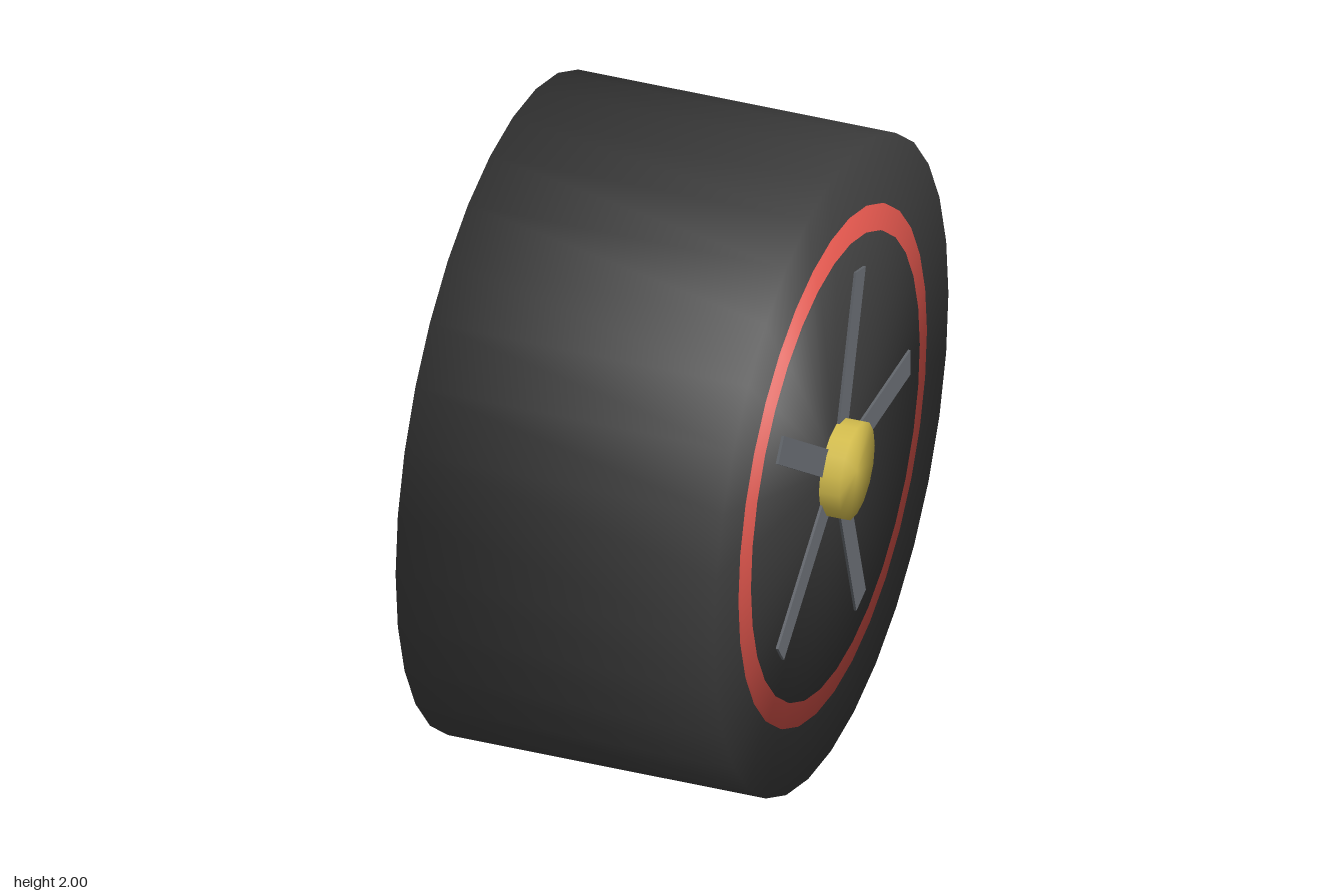
import * as THREE from 'three';
import { mergeVertices } from 'three/addons/utils/BufferGeometryUtils.js';

const paint = (name, color) => {
  const m = new THREE.MeshStandardMaterial({ color });
  m.name = name;
  return m;
};

// Cylinder along x whose normals blend softly over the rim edge
function softDrum(radius, width, sides) {
  let g = new THREE.CylinderGeometry(radius, radius, width, sides);
  g.deleteAttribute('normal');
  g.deleteAttribute('uv');
  g = mergeVertices(g, 1e-4);
  g.computeVertexNormals();
  g.rotateZ(Math.PI / 2);
  return g;
}

export function createModel() {
  const rubber = paint('black rubber', 0x3b3b3b);
  const red = paint('red stripe', 0xd9534a);
  const steel = paint('grey steel', 0x63676d);
  const gold = paint('gold hub', 0xd6bf4e);

  const wheel = new THREE.Group();
  wheel.name = 'wheel';
  wheel.position.y = 1;

  // Concentric drums, each narrower one standing slightly further out
  const drums = [
    ['tyre', 1, 1, 32, rubber],
    ['rimStripe', 0.79, 1.02, 32, red],
    ['rimDisc', 0.71, 1.034, 32, rubber],
    ['hub', 0.15, 1.164, 16, gold],
  ];
  for (const [name, radius, width, sides, material] of drums) {
    const mesh = new THREE.Mesh(softDrum(radius, width, sides), material);
    mesh.name = name;
    wheel.add(mesh);
  }

  // Five spokes on each side, the first pointing to the back
  for (const side of [1, -1]) {
    const spokes = new THREE.Group();
    spokes.name = side > 0 ? 'leftSpokes' : 'rightSpokes';
    for (let i = 0; i < 5; i++) {
      const g = new THREE.BoxGeometry(0.04, 0.085, 0.55);
      g.translate(side * 0.505, 0, -0.335);
      const spoke = new THREE.Mesh(g, steel);
      spoke.name = 'spoke';
      spoke.rotation.x = (i * Math.PI * 2) / 5;
      spokes.add(spoke);
    }
    wheel.add(spokes);
  }

  const model = new THREE.Group();
  model.name = 'wheelModel';
  model.add(wheel);
  return model;
}
